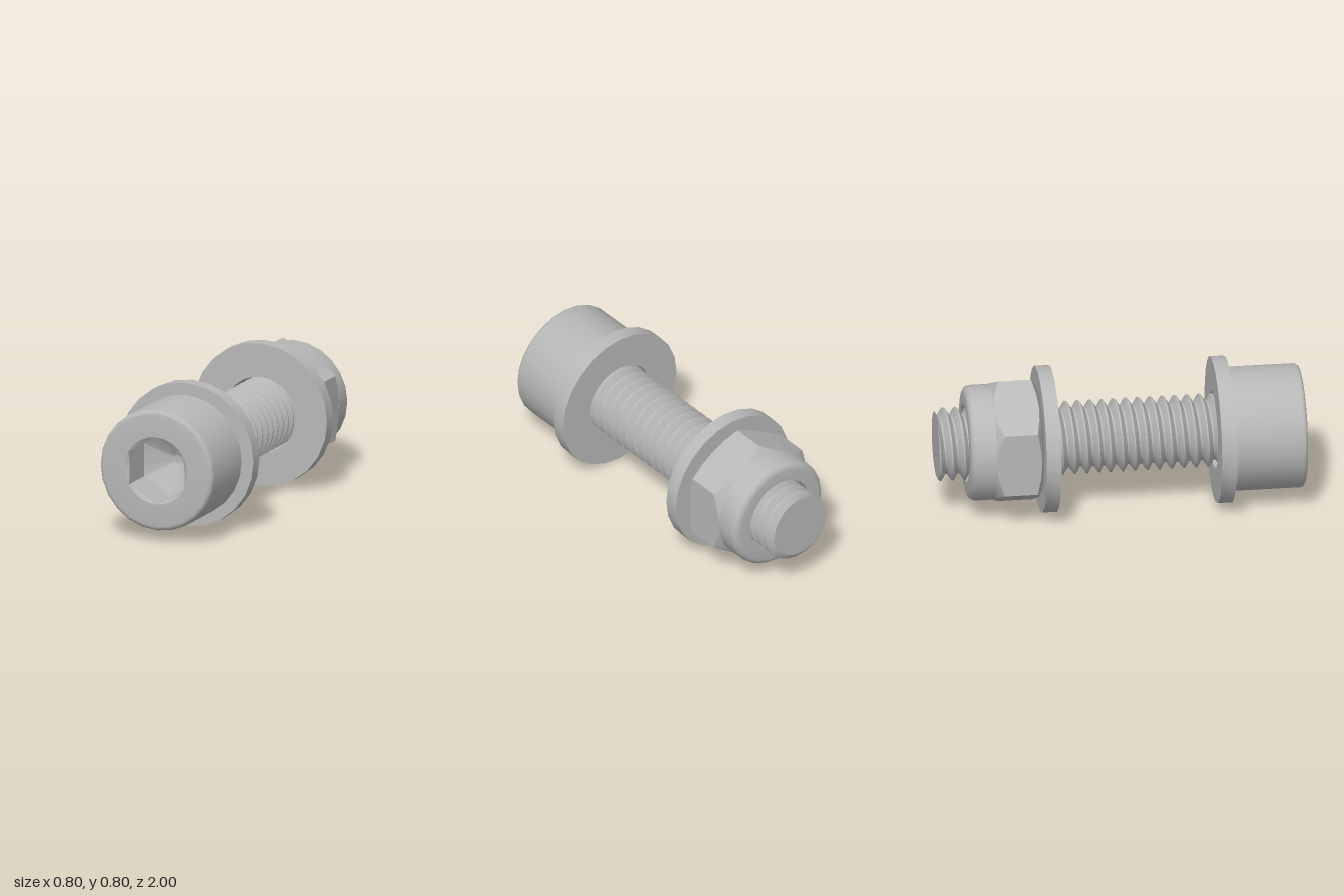
import * as THREE from 'three';
import { toCreasedNormals } from 'three/addons/utils/BufferGeometryUtils.js';

const SIDES = 24;
const AXIS_Y = 0.4;

// Sweeps a profile round the z axis; profile(angle) returns [radius, z] points,
// so the section may change with the angle (hexagons, threads).
function sweep(profile) {
  const pos = [];
  const at = (i) => {
    const t = (i / SIDES) * Math.PI * 2;
    return profile(t).map(([r, z]) => new THREE.Vector3(r * Math.cos(t), r * Math.sin(t), z));
  };
  const tri = (a, b, c) => {
    const area = b.clone().sub(a).cross(c.clone().sub(a)).length();
    if (area > 1e-9) for (const p of [a, b, c]) pos.push(p.x, p.y, p.z);
  };
  for (let i = 0; i < SIDES; i++) {
    const p = at(i), q = at(i + 1);
    for (let j = 0; j < p.length - 1; j++) {
      tri(p[j], q[j], q[j + 1]);
      tri(p[j], q[j + 1], p[j + 1]);
    }
  }
  const geo = new THREE.BufferGeometry();
  geo.setAttribute('position', new THREE.Float32BufferAttribute(pos, 3));
  return toCreasedNormals(geo, 0.5);
}

// Radius of a hexagon with corners up and down
function hexRadius(corner, t) {
  const sector = Math.PI / 3;
  const a = t + Math.PI / 6;
  const local = a - Math.floor(a / sector + 1e-6) * sector - sector / 2;
  return (corner * Math.cos(Math.PI / 6)) / Math.cos(local);
}

// Quarter-round corner points, from angle a0 to a1
function fillet(r, z, size, a0, a1, steps = 4) {
  return Array.from({ length: steps + 1 }, (_, i) => {
    const a = a0 + ((a1 - a0) * i) / steps;
    return [r + size * Math.cos(a), z + size * Math.sin(a)];
  });
}

// Cap head with a chamfered hexagonal socket and a conical socket floor
function headProfile(t) {
  const hex = hexRadius(0.188, t);
  return [
    [0.15, 0.6], [0.327, 0.6], [0.338, 0.618],
    ...fillet(0.313, 0.975, 0.025, 0, Math.PI / 2),
    [0.188, 1], [hex, 1 - (0.188 - hex) * 0.6],
    [hex, 0.8], [0.025, 0.715], [0, 0.715],
  ];
}

// Screw thread: the section climbs one pitch per turn, trimmed at both ends
const PITCH = 1 / 15, Z0 = -1, Z1 = 0.6;
const TOOTH = [[0, 0.162], [0.14, 0.162], [0.5, 0.2], [0.64, 0.2], [1, 0.162]];
function toothRadius(phase) {
  const u = phase - Math.floor(phase);
  for (let k = 1; k < TOOTH.length; k++) {
    const [u0, r0] = TOOTH[k - 1], [u1, r1] = TOOTH[k];
    if (u <= u1) return r0 + ((r1 - r0) * (u - u0)) / (u1 - u0);
  }
  return 0.162;
}
function threadProfile(t) {
  const turn = t / (Math.PI * 2);
  const pts = [[0, Z0]];
  const add = (z) => pts.push([toothRadius(z / PITCH - turn), z]);
  for (let j = Math.floor(Z0 / PITCH) - 2; j <= Math.ceil(Z1 / PITCH) + 1; j++) {
    for (let k = 0; k < 4; k++) {
      add(THREE.MathUtils.clamp(PITCH * (j + TOOTH[k][0] + turn), Z0, Z1));
    }
  }
  return pts;
}

// Lock nut: round collar at the back, hexagon with chamfered corners at the front
function nutProfile(t) {
  const hex = hexRadius(0.362, t);
  return [
    [0.212, -0.44], [0.212, -0.84],
    ...fillet(0.275, -0.8, 0.04, -Math.PI / 2, 0),
    [0.315, -0.7],
    [hex, -0.7 + Math.max(0, hex - 0.315) * 0.9],
    [hex, -0.44 - (hex - 0.285) * 0.5],
    [0.285, -0.44], [0.212, -0.44],
  ].map(([r, z], i) => (i === 0 ? [r, -0.44] : [r, z]));
}

// Flat washer between two z positions
const washerProfile = (z) => () => [
  [0.212, z], [0.4, z], [0.4, z + 0.08], [0.212, z + 0.08], [0.212, z],
];

export function createModel() {
  const group = new THREE.Group();
  group.name = 'boltAssembly';
  const steel = new THREE.MeshStandardMaterial({ color: 0xb8b8b8 });
  steel.name = 'steel grey';

  const add = (name, profile) => {
    const mesh = new THREE.Mesh(sweep(profile), steel);
    mesh.name = name;
    mesh.position.y = AXIS_Y;
    group.add(mesh);
  };
  add('socketHead', headProfile);
  add('threadedShank', threadProfile);
  add('frontWasher', washerProfile(0.52));
  add('rearWasher', washerProfile(-0.44));
  add('lockNut', nutProfile);
  return group;
}
